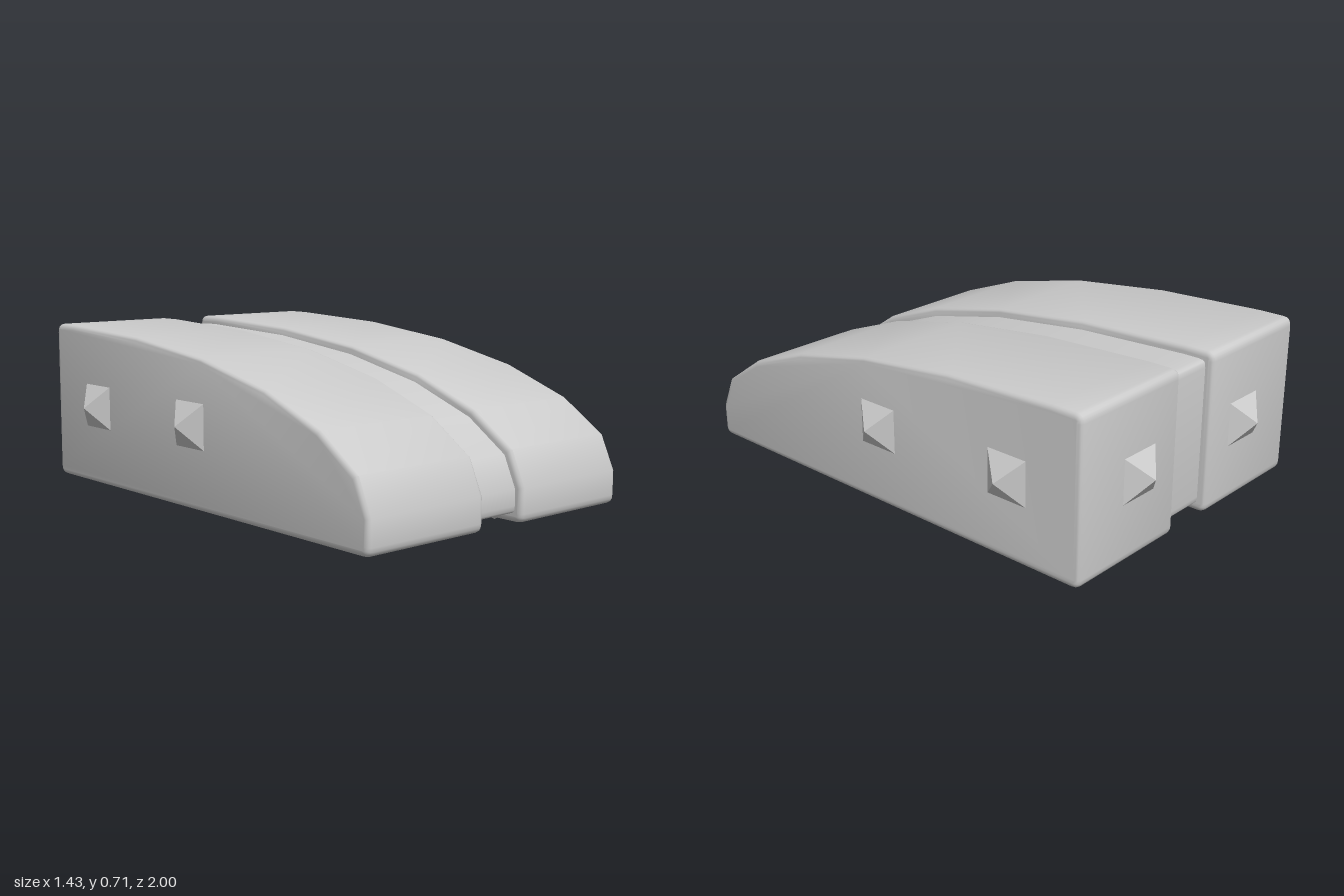
import * as THREE from 'three';
import { toCreasedNormals } from 'three/addons/utils/BufferGeometryUtils.js';

const material = new THREE.MeshStandardMaterial({ color: 0xcccccc });
const spikeMaterial = new THREE.MeshStandardMaterial({ color: 0xcccccc, flatShading: true });

const BOTTOM = 0.07, TOP = 0.712, FRONT = 1, BACK = -0.932, SIDE = 0.645;

// Side outline (z across, y up): flat base and back, curved faceted top, corners rounded by r
function outline(r) {
  const s = new THREE.Shape();
  s.moveTo(BACK + r, BOTTOM);
  s.lineTo(FRONT - r, BOTTOM);
  s.quadraticCurveTo(FRONT, BOTTOM, FRONT, BOTTOM + r);
  const curve = [[FRONT, 0.2], [0.94, 0.333], [0.757, 0.457], [0.47, 0.563], [0.1, 0.643], [-0.33, 0.692], [-0.8, TOP]];
  for (const [z, y] of curve) s.lineTo(z, y);
  s.lineTo(BACK + r, TOP);
  s.quadraticCurveTo(BACK, TOP, BACK, TOP - r);
  s.lineTo(BACK, BOTTOM + r);
  s.quadraticCurveTo(BACK, BOTTOM, BACK + r, BOTTOM);
  return s;
}

// Extrudes an outline along x, centred on x = 0
function slab(shape, width, bevel) {
  const depth = width - 2 * bevel.bevelThickness;
  const g = new THREE.ExtrudeGeometry(shape, { depth, curveSegments: 4, ...bevel });
  g.translate(0, 0, -depth / 2).rotateY(-Math.PI / 2);
  return toCreasedNormals(g, 0.62);
}

export function createModel() {
  const group = new THREE.Group();

  function add(name, geometry, mat, x = 0, y = 0, z = 0) {
    const mesh = new THREE.Mesh(geometry, mat);
    mesh.name = name;
    mesh.position.set(x, y, z);
    group.add(mesh);
    return mesh;
  }

  // Recessed strip joining the two halves
  add('core', slab(outline(0.06), 0.26, {
    bevelThickness: 0.001, bevelSize: 0, bevelOffset: -0.033, bevelSegments: 1,
  }), material);

  // Two round-edged halves
  const half = slab(outline(0.035), 0.545, {
    bevelThickness: 0.022, bevelSize: 0.022, bevelOffset: -0.022, bevelSegments: 4,
  });

  // Four-sided studs, base at the origin, pointing up
  const spike = new THREE.ConeGeometry(0.087 * Math.SQRT2, 0.069, 4);
  spike.rotateY(Math.PI / 4).translate(0, 0.0345, 0);

  for (const side of [1, -1]) {
    const label = side > 0 ? 'left' : 'right';
    add(label + 'Half', half, material, side * 0.3725);

    for (const z of [0.03, -0.61]) {
      add(label + 'SideSpike', spike, spikeMaterial, side * SIDE, 0.39, z).rotation.z = -side * Math.PI / 2;
    }
    for (const z of [0.68, 0.03, -0.61]) {
      add(label + 'BottomSpike', spike, spikeMaterial, side * 0.322, BOTTOM, z).rotation.x = Math.PI;
    }
    add(label + 'BackSpike', spike, spikeMaterial, side * 0.322, 0.39, BACK).rotation.x = -Math.PI / 2;
  }
  return group;
}
